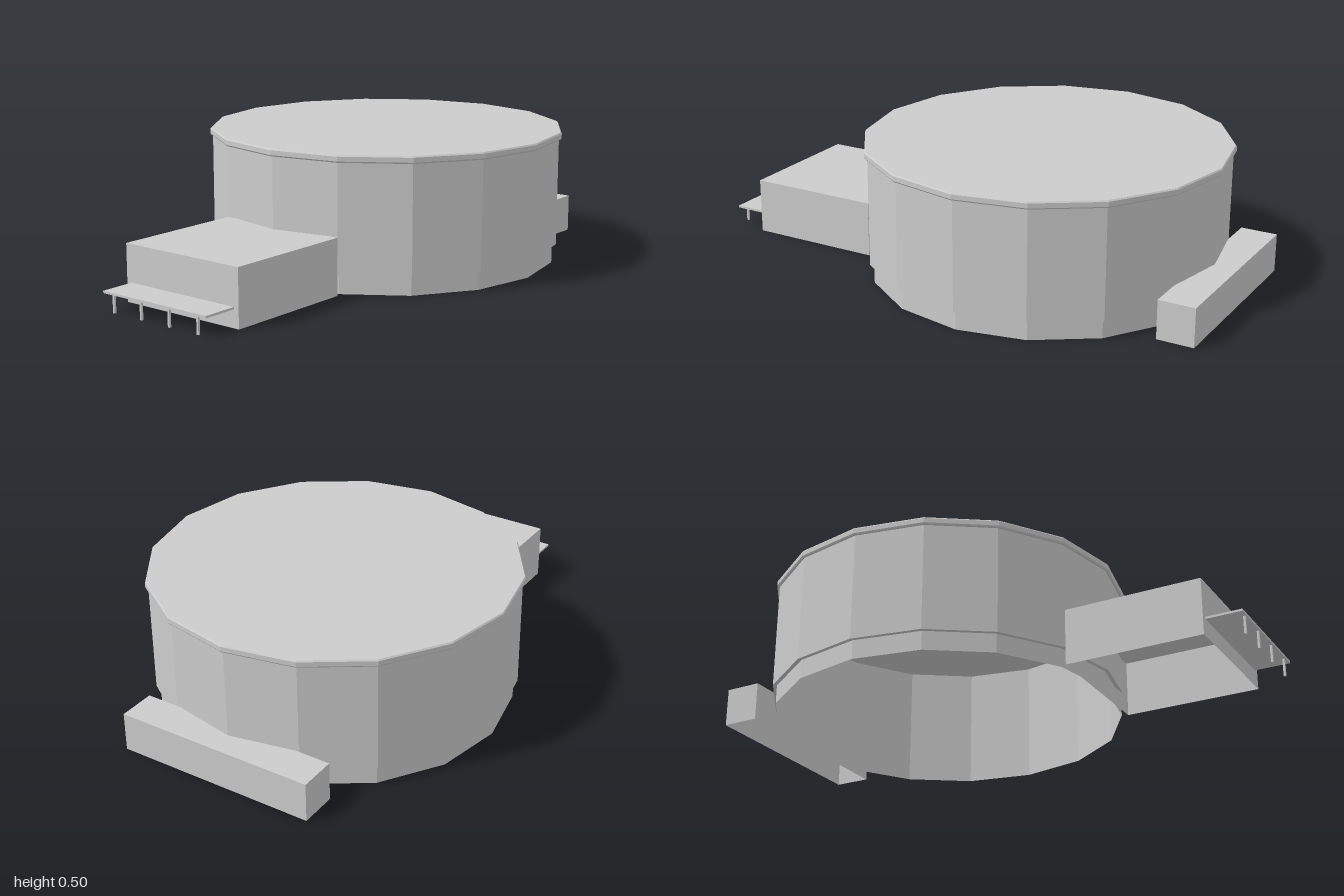
import * as THREE from 'three';

const SIDES = 16;
const CENTRE_Z = -0.252;

export function createModel() {
  const model = new THREE.Group();
  model.name = 'roundHall';
  const grey = new THREE.MeshStandardMaterial({ color: 0xcccccc });
  grey.name = 'light grey';
  grey.flatShading = true;
  grey.side = THREE.DoubleSide;

  function add(name, geometry, x, y, z) {
    const mesh = new THREE.Mesh(geometry, grey);
    mesh.name = name;
    mesh.position.set(x, y, z);
    model.add(mesh);
  }

  // Sixteen-sided shell turned from a profile of [radius, height] points
  function ring(name, points) {
    const profile = points.map(([r, y]) => new THREE.Vector2(r, y));
    add(name, new THREE.LatheGeometry(profile, SIDES), 0, 0, CENTRE_Z);
  }

  // Box given by its extents, optionally without a floor
  function block(name, [x0, x1], [y0, y1], [z0, z1], openBelow = false) {
    const geometry = new THREE.BoxGeometry(x1 - x0, y1 - y0, z1 - z0);
    if (openBelow) {
      const index = Array.from(geometry.index.array);
      index.splice(18, 6);
      geometry.setIndex(index);
      geometry.clearGroups();
    }
    add(name, geometry, (x0 + x1) / 2, (y0 + y1) / 2, (z0 + z1) / 2);
  }

  // Main drum: recessed plinth, overhanging wall and capped roof
  ring('plinth', [[0.645, 0], [0.645, 0.47]]);
  ring('wall', [[0.645, 0.07], [0.66, 0.07], [0.66, 0.47]]);
  ring('roof', [[0, 0.47], [0.666, 0.47], [0.67, 0.475], [0.67, 0.492], [0.666, 0.497], [0, 0.5]]);

  // Entrance hall at the front and service block at the back
  block('entranceHall', [-0.257, 0.257], [0, 0.208], [0.365, 0.87], true);
  block('rearBlock', [-0.373, 0.373], [0, 0.143], [-1, -0.864], true);

  // Entrance canopy on four slim posts
  block('canopy', [-0.236, 0.236], [0.064, 0.072], [0.87, 1]);
  for (const x of [-0.193, -0.0643, 0.0643, 0.193]) {
    block('canopyPost', [x - 0.004, x + 0.004], [0, 0.064], [0.987, 0.995]);
  }
  return model;
}
